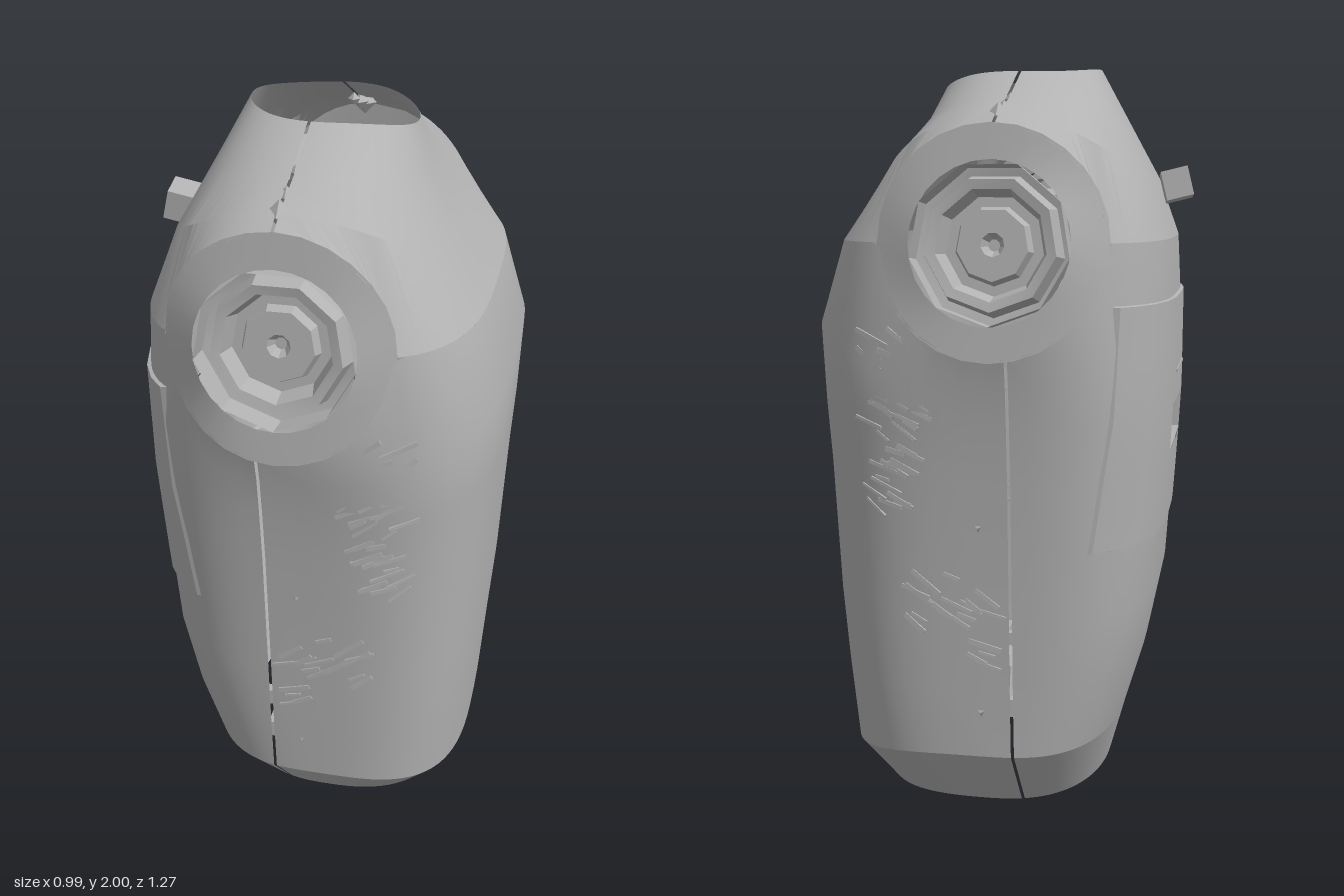
import * as THREE from 'three';
import { toCreasedNormals } from 'three/addons/utils/BufferGeometryUtils.js';

const shellMat = new THREE.MeshStandardMaterial({ color: 0xb2b2b2, side: THREE.DoubleSide });
shellMat.name = 'grey';

const ARM = { x: -0.04, y: 1.55, r: 0.28 };

// Cross-sections: x range, y at each x end, half depth, y at the sides, roundness, seam x
const ring = (x0, x1, y0, y1, z, yz, n, seam, arm = 0) => ({ x0, x1, y0, y1, z, yz, n, seam, arm });
const upper = [
  ring(-0.24, 0.195, 2.0, 1.95, 0.2, 1.985, 2, -0.045),
  ring(-0.305, 0.23, 1.88, 1.85, 0.38, 1.905, 2.2, -0.045),
  ring(-0.4, 0.325, 1.7, 1.69, 0.52, 1.86, 2.6, -0.045),
  ring(-0.45, 0.42, 1.55, 1.55, 0.605, 1.55, 3.3, -0.045, 1),
];
const lower = [
  ring(-0.45, 0.42, 1.55, 1.55, 0.605, 1.55, 3.3, -0.085, -1),
  ring(-0.46, 0.485, 1.37, 1.35, 0.617, 1.2, 3.4, -0.085),
  ring(-0.46, 0.478, 1.13, 1.13, 0.603, 1.1, 3.4, -0.085),
  ring(-0.453, 0.468, 0.96, 0.96, 0.588, 0.96, 3.4, -0.085),
  ring(-0.43, 0.452, 0.6, 0.6, 0.566, 0.6, 3.4, -0.085),
  ring(-0.39, 0.437, 0.4, 0.4, 0.556, 0.4, 3.3, -0.085),
  ring(-0.34, 0.42, 0.23, 0.155, 0.545, 0.215, 3, -0.085),
];
const hem = [lower[6], ring(-0.29, 0.35, 0.045, 0, 0.38, 0.02, 2.6, -0.085)];

const spow = (v, p) => Math.sign(v) * Math.abs(v) ** p;
const lerp = THREE.MathUtils.lerp;

// Point on a cross-section; the ones marked arm bend around the arm opening
function ringPoint(k, t) {
  const a = (k.x1 - k.x0) / 2, cx = (k.x0 + k.x1) / 2;
  const c = spow(Math.cos(t), 2 / k.n), s = spow(Math.sin(t), 2 / k.n);
  const x = cx + a * c;
  let y = lerp(k.y0, k.y1, (c + 1) / 2), z = k.z * s;
  if (k.arm) {
    const d = (x - ARM.x) / ARM.r;
    const lift = Math.abs(d) < 1 && Math.abs(z) > 0.3 ? k.arm * ARM.r * Math.sqrt(1 - d * d) : 0;
    y += lift;
    z -= Math.sign(z) * lift * 0.1;
  } else {
    y = lerp(y, k.yz, 1 - c * c);
  }
  return [x, y, z];
}

// Skin over rows of points
function loft(rows, skip = () => false, crease = 0.45) {
  const pos = [], idx = [], w = rows[0].length;
  rows.forEach(r => r.forEach(p => pos.push(...p)));
  for (let j = 0; j < rows.length - 1; j++) for (let i = 0; i < w - 1; i++) {
    if (skip(rows[j][i], rows[j + 1][i + 1])) continue;
    const a = j * w + i, b = a + 1, c = a + w, d = c + 1;
    idx.push(a, b, c, b, d, c);
  }
  const g = new THREE.BufferGeometry();
  g.setAttribute('position', new THREE.Float32BufferAttribute(pos, 3));
  g.setIndex(idx);
  return toCreasedNormals(g, crease);
}

// Half of the shell on one side of the seam
function halfRows(rings, front) {
  return rings.map(k => {
    const a = (k.x1 - k.x0) / 2, cx = (k.x0 + k.x1) / 2;
    const q = (k.seam + (front ? 0.004 : -0.004) - cx) / a;
    const t = Math.acos(spow(q, k.n / 2));
    const from = front ? -t : t, to = front ? t : 2 * Math.PI - t;
    return Array.from({ length: 49 }, (_, i) => ringPoint(k, lerp(from, to, i / 48)));
  });
}

// Interpolated size of the trunk at a height
function section(y) {
  let j = 1;
  while (j < lower.length - 2 && y < lower[j + 1].yz) j++;
  const p = lower[j], q = lower[j + 1];
  const f = THREE.MathUtils.clamp((p.y0 - y) / (p.y0 - q.y0), 0, 1);
  return { x0: lerp(p.x0, q.x0, f), x1: lerp(p.x1, q.x1, f), z: lerp(p.z, q.z, f) };
}
const bulge = v => Math.max(0, 1 - Math.abs(v) ** 3.4) ** (1 / 3.4);
function sideZ(x, y) {
  const s = section(y);
  return s.z * bulge((x - (s.x0 + s.x1) / 2) / ((s.x1 - s.x0) / 2));
}
function backX(y, z) {
  const s = section(y);
  return (s.x0 + s.x1) / 2 - (s.x1 - s.x0) / 2 * bulge(z / s.z);
}

export function createModel() {
  const model = new THREE.Group();
  const add = (parent, name, geo, x = 0, y = 0, z = 0) => {
    const m = new THREE.Mesh(geo, shellMat);
    m.name = name;
    m.position.set(x, y, z);
    parent.add(m);
    return m;
  };

  // Chest and back shells, parted by a fine seam
  const slot = (p, q) => p[0] < -0.3 && p[1] < 1.2 && q[1] > 0.9
    && Math.abs(p[2]) < 0.27 && Math.abs(q[2]) < 0.27;
  for (const front of [true, false]) {
    const n = front ? 'chest' : 'back';
    add(model, n + 'Shoulders', loft(halfRows(upper, front)));
    add(model, n + 'Shell', loft(halfRows(lower, front), front ? undefined : slot));
    add(model, n + 'Hem', loft(halfRows(hem, front)));
  }

  // Back panel with a slot
  const zs = [-0.54, -0.535, -0.49, -0.42, -0.32, -0.2, -0.1, 0, 0.1, 0.2, 0.32, 0.42, 0.49, 0.535, 0.54];
  const ys = [1.4, 1.395, 1.25, 1.11, 0.98, 0.86, 0.775, 0.77];
  const panel = ys.map((y, j) => zs.map((z, i) => {
    const edge = j === 0 || j === ys.length - 1 || i === 0 || i === zs.length - 1;
    return [backX(y, z) + (edge ? 0.015 : -0.008), y, z];
  }));
  add(model, 'backPanel', loft(panel, (p, q) =>
    p[1] < 1.12 && q[1] > 0.97 && Math.abs(p[2]) < 0.21 && Math.abs(q[2]) < 0.21));
  const outline = (d, sx) => [[1.11, -0.2], [1.11, 0.2], [0.98, 0.2], [0.98, -0.2], [1.11, -0.2]]
    .map(([y, z]) => [backX(y, z) - 0.008 + d, lerp(1.045, y, sx), z * sx]);
  add(model, 'slotRecess', loft([outline(0, 1), outline(0.1, 0.95), outline(0.1, 0)], undefined, 0.2));
  add(model, 'slotLine', new THREE.BoxGeometry(0.008, 0.008, 0.26), -0.467, 1.19, 0);

  // Peg high on the back
  add(model, 'backPeg', new THREE.BoxGeometry(0.075, 0.08, 0.1), -0.45, 1.69, 0).rotation.set(0.1, 0.1, -0.25);

  // Shoulder sockets, studs and skin scuffs, mirrored front to back in z
  const socketProfile = [[0.2, 0.005], [0.2, -0.07], [0.178, -0.075], [0.165, -0.015], [0.14, -0.02],
    [0.125, -0.075], [0.1, -0.075], [0.09, -0.045], [0.03, -0.045], [0.015, -0.07], [0.001, -0.07]]
    .map(([r, h]) => new THREE.Vector2(r, h));
  for (const side of [1, -1]) {
    const g = new THREE.Group();
    g.name = side > 0 ? 'rightSide' : 'leftSide';
    g.scale.z = side;
    model.add(g);

    const circle = (r, f) => Array.from({ length: 29 }, (_, i) => {
      const t = i / 28 * Math.PI * 2, x = ARM.x + r * Math.cos(t), y = ARM.y + r * Math.sin(t);
      const u = (x + 0.015) / 0.435;
      const curved = 0.605 * Math.max(0, 1 - Math.abs(u) ** 3.3) ** (1 / 3.3);
      return [x, y, lerp(0.606, curved, f) - 0.1 * (y - ARM.y)];
    });
    add(g, 'shoulderPlate', loft([circle(0.287, 1), circle(0.2, 0.1)]));
    const socket = add(g, 'shoulderSocket',
      toCreasedNormals(new THREE.LatheGeometry(socketProfile, 9), 0.2), ARM.x, ARM.y, 0.602);
    socket.rotation.x = Math.PI / 2 - 0.1;

    for (const y of [1.3, 0.84, 0.34])
      add(g, 'stud', new THREE.ConeGeometry(0.022, 0.012, 3), -0.005, y, sideZ(-0.005, y)).rotation.x = Math.PI / 2;
    for (const [z, y, r] of [[0.5, 1.865, 0.035], [0.43, 1.885, 0.025], [0.34, 1.915, 0.018]])
      add(g, 'seamClip', new THREE.OctahedronGeometry(r), -0.045, y - 0.012, z);

    // Scuffs
    let seed = 7;
    const rnd = () => (seed = (seed * 16807) % 2147483647) / 2147483647;
    for (let i = 0; i < 56; i++) {
      const low = i >= 38;
      const x = low ? lerp(-0.03, 0.17, rnd()) : lerp(0.13, 0.28, rnd());
      const y = low ? lerp(0.47, 0.71, rnd()) : lerp(0.82, 1.32, rnd());
      const sliver = add(g, 'scuff', new THREE.BoxGeometry(0.04 + 0.06 * rnd(), 0.006 + 0.008 * rnd(), 0.006),
        x, y, sideZ(x, y) + 0.001);
      sliver.rotation.set(0, Math.atan2(sideZ(x - 0.03, y) - sideZ(x + 0.03, y), 0.06), 0.2 + 0.5 * rnd());
    }
  }

  // Neck cup
  const cup = [[0.24, 1.84], [0.2, 1.78], [0.13, 1.77], [0.125, 1.81], [0.1, 1.81], [0.09, 1.76], [0.06, 1.76], [0.05, 1.78], [0.001, 1.78]]
    .map(([r, y]) => new THREE.Vector2(r, y));
  add(model, 'neckCup', toCreasedNormals(new THREE.LatheGeometry(cup, 9), 0.2), -0.015, 0, 0);

  // Inner frame at the waist
  add(model, 'waistSocket', toCreasedNormals(new THREE.CylinderGeometry(0.1, 0.13, 0.12, 6), 0.2), 0, 0.24, 0);
  for (const x of [-0.12, 0.1])
    add(model, 'waistBar', new THREE.BoxGeometry(0.03, 0.05, 0.84), x, 0.24, 0);
  for (const z of [-0.28, 0.28])
    add(model, 'crossBar', new THREE.BoxGeometry(0.56, 0.05, 0.03), 0.02, 0.25, z);

  return model;
}
